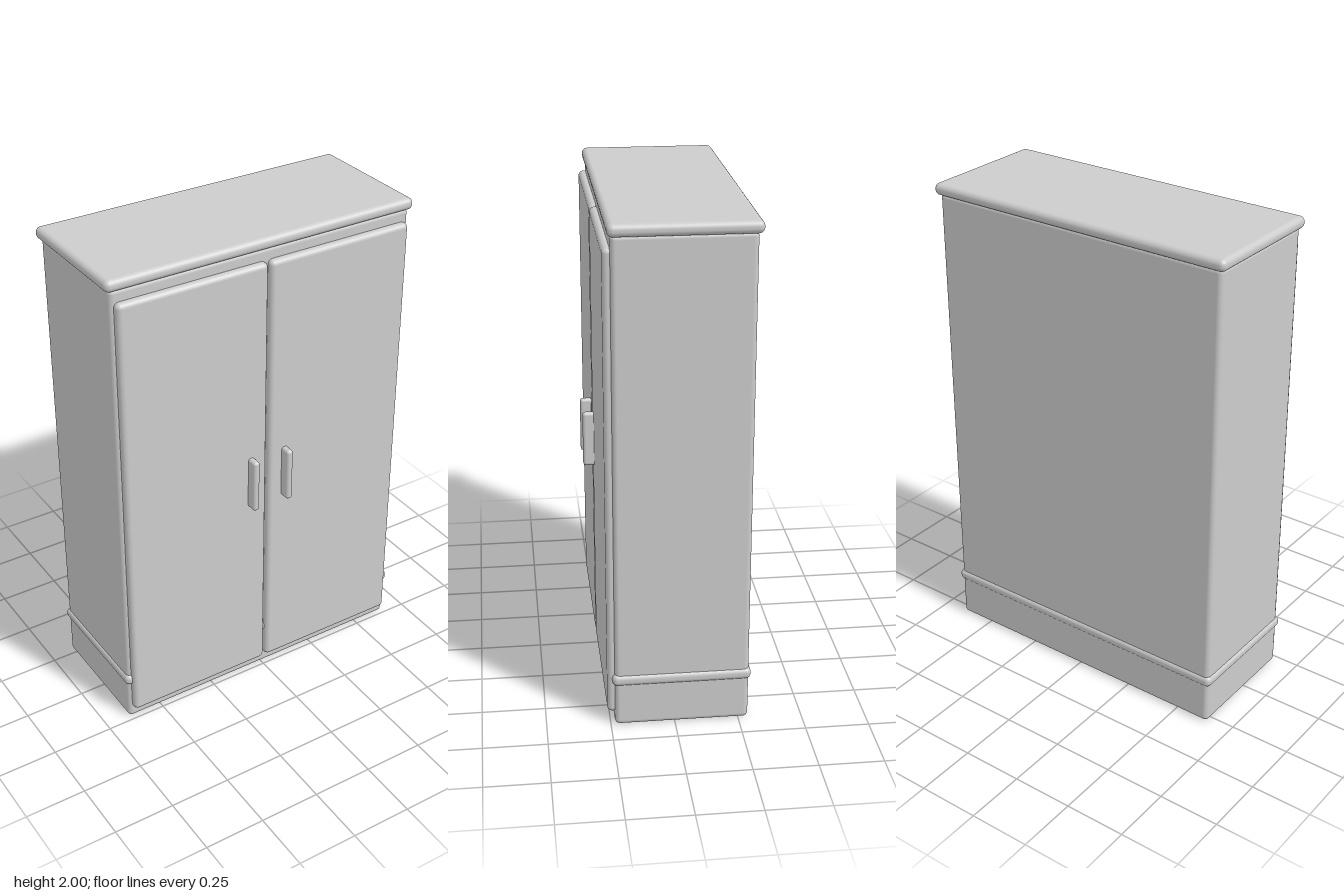
import * as THREE from 'three';
import { RoundedBoxGeometry } from 'three/addons/geometries/RoundedBoxGeometry.js';

export function createModel() {
  const model = new THREE.Group();
  model.name = 'wardrobe';

  const paint = new THREE.MeshStandardMaterial({ color: 0xcccccc });
  paint.name = 'light grey';

  // Rounded box given by its minimum and maximum on each axis
  function block(name, [x0, x1], [y0, y1], [z0, z1], radius) {
    const geometry = new RoundedBoxGeometry(x1 - x0, y1 - y0, z1 - z0, 5, radius);
    const mesh = new THREE.Mesh(geometry, paint);
    mesh.name = name;
    mesh.position.set((x0 + x1) / 2, (y0 + y1) / 2, (z0 + z1) / 2);
    model.add(mesh);
  }

  // Cabinet, overhanging top and moulding above the base
  block('cabinetBody', [-0.649, 0.649], [0, 1.96], [-0.289, 0.234], 0.02);
  block('topBoard', [-0.666, 0.666], [1.952, 2], [-0.306, 0.245], 0.022);
  block('baseMoulding', [-0.658, 0.658], [0.175, 0.222], [-0.297, 0.243], 0.02);

  // Mirrored doors with upright handles
  for (const [side, s] of [['left', 1], ['right', -1]]) {
    const span = (a, b) => (s > 0 ? [a, b] : [-b, -a]);
    block(side + 'Door', span(0.005, 0.634), [0.05, 1.91], [0.213, 0.262], 0.02);
    block(side + 'Handle', span(0.064, 0.092), [0.865, 1.092], [0.235, 0.306], 0.012);
  }

  return model;
}
